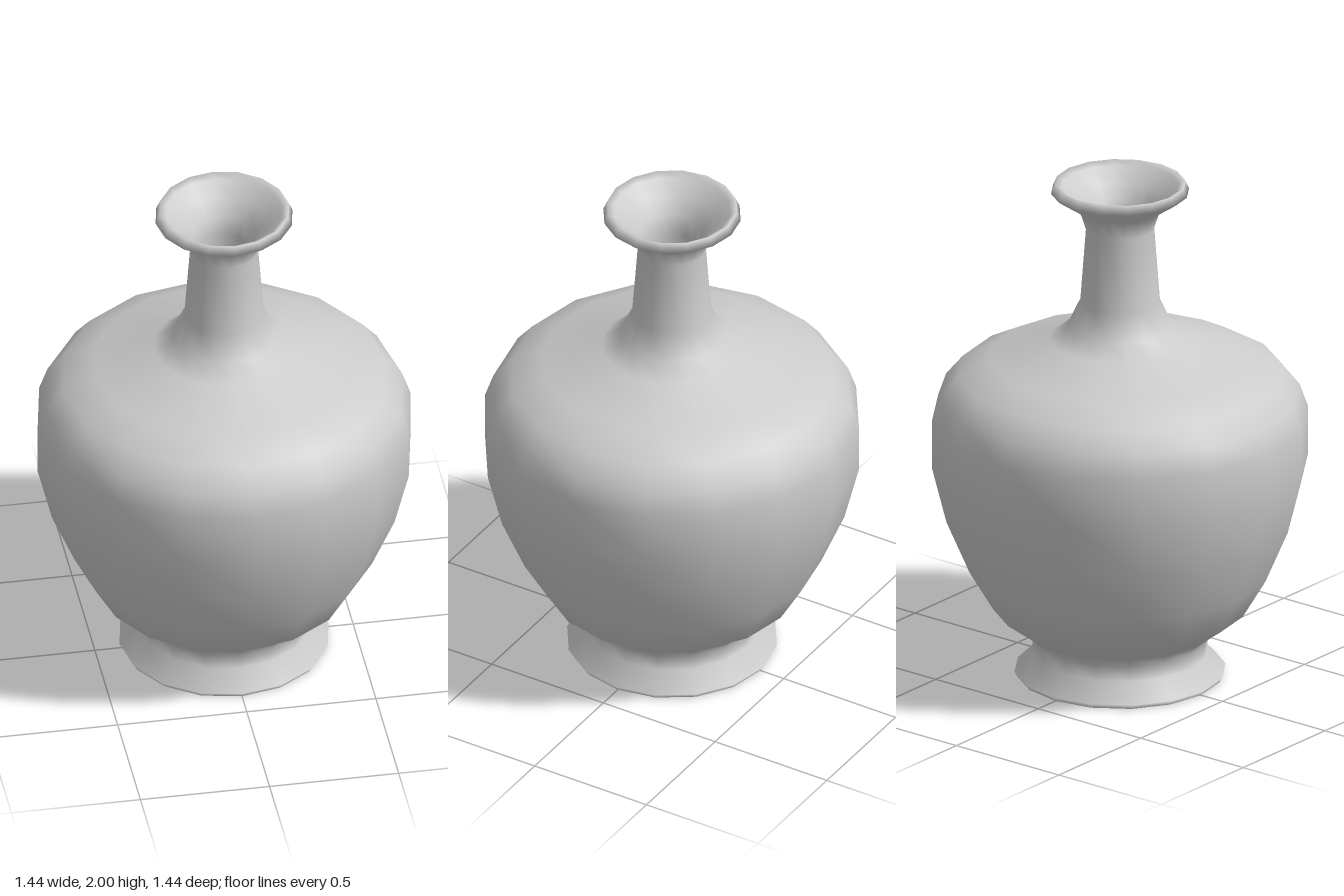
import * as THREE from 'three';

const SIDES = 16;

// Revolve a list of [radius, height] pairs around the y axis.
function turned(name, profile, material) {
  const points = profile.map(([r, y]) => new THREE.Vector2(r, y));
  const mesh = new THREE.Mesh(new THREE.LatheGeometry(points, SIDES), material);
  mesh.name = name;
  return mesh;
}

export function createModel() {
  const vase = new THREE.Group();
  vase.name = 'vase';
  const clay = new THREE.MeshStandardMaterial({ color: 0xcccccc });

  // Outer wall, foot to lip, then over the rim and down the inside to the floor
  const foot = [[0.395, 0], [0.405, 0.018], [0.335, 0.088], [0.335, 0.15]];
  const belly = [
    [0.37, 0.19], [0.487, 0.277], [0.577, 0.43], [0.666, 0.64],
    [0.722, 0.865], [0.722, 1.055], [0.69, 1.147], [0.625, 1.225],
  ];
  const shoulder = [[0.5, 1.29], [0.27, 1.365], [0.2, 1.42]];
  const neck = [[0.153, 1.52], [0.131, 1.815], [0.155, 1.89]];
  const lip = [[0.265, 1.965], [0.25, 2], [0.225, 1.985]];
  const throat = [[0.17, 1.935], [0.125, 1.88], [0.1, 1.81], [0.115, 1.52], [0.16, 1.4]];
  const cavity = [
    [0.25, 1.33], [0.47, 1.255], [0.59, 1.195], [0.68, 1.05], [0.68, 0.87],
    [0.625, 0.65], [0.54, 0.45], [0.45, 0.305], [0.33, 0.22], [0, 0.2],
  ];
  vase.add(turned('body', [...foot, ...belly, ...shoulder, ...neck, ...lip, ...throat, ...cavity], clay));

  // Flat underside with a crisp edge
  const base = new THREE.Mesh(new THREE.CircleGeometry(0.395, SIDES), clay);
  base.rotation.x = Math.PI / 2;
  base.name = 'base';
  vase.add(base);

  return vase;
}
